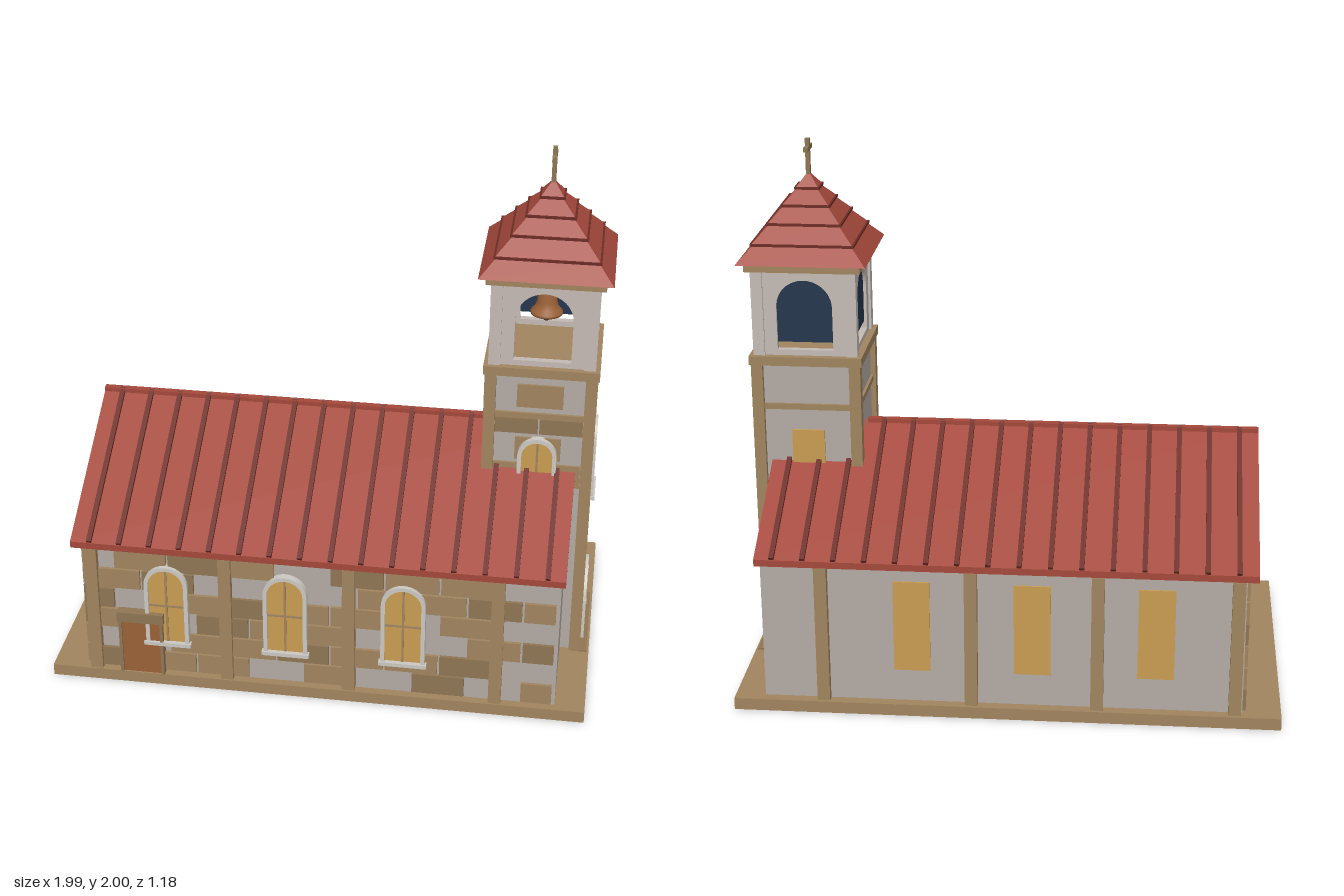
import * as THREE from 'three';

const mat = (color) => new THREE.MeshStandardMaterial({ color, flatShading: true });
const M = {
  wall: mat(0xb3aaa4), belfry: mat(0xc4bab4), trim: mat(0xa0845f), trim2: mat(0x8f7553), frame: mat(0xccc8c2),
  roof: mat(0xa4483b), rib: mat(0x6c2c25), glass: mat(0xc99c52), wood: mat(0x9a6037), plank: mat(0x6f4325), navy: mat(0x24364d),
  bell: new THREE.MeshStandardMaterial({ color: 0x9c6238, side: THREE.DoubleSide }),
};

function add(parent, name, geo, material, x = 0, y = 0, z = 0) {
  const m = new THREE.Mesh(geo, material);
  m.name = name;
  m.position.set(x, y, z);
  parent.add(m);
  return m;
}

// Box given by its minimum and maximum along each axis
function box(parent, name, material, x0, x1, y0, y1, z0, z1) {
  return add(parent, name, new THREE.BoxGeometry(x1 - x0, y1 - y0, z1 - z0), material,
    (x0 + x1) / 2, (y0 + y1) / 2, (z0 + z1) / 2);
}

const extrude = (shape, depth) => new THREE.ExtrudeGeometry(shape, { depth, bevelEnabled: false, curveSegments: 14 });

// Round-headed outline of half width r
function arch(r, y0, top, Type = THREE.Shape) {
  const s = new Type();
  s.moveTo(-r, y0);
  s.lineTo(r, y0);
  s.lineTo(r, top - r);
  s.absarc(0, top - r, r, 0, Math.PI, false);
  s.lineTo(-r, y0);
  return s;
}

function polygon(points) {
  return new THREE.Shape(points.map(([x, y]) => new THREE.Vector2(x, y)));
}

// A group whose local +z points out of a wall
function face(parent, name, x, z, angle) {
  const g = new THREE.Group();
  g.name = name;
  g.position.set(x, 0, z);
  g.rotation.y = angle;
  parent.add(g);
  return g;
}

function archFrame(parent, r, t, y0, top, z, depth) {
  const s = arch(r + t, y0, top + t);
  s.holes.push(arch(r, y0 - 0.0001 + 0.0002, top, THREE.Path));
  add(parent, 'archFrame', extrude(s, depth), M.frame, 0, 0, z);
}

function archWindow(parent, x, r, y0, top) {
  const g = face(parent, 'archWindow', x, 0, 0);
  add(g, 'glass', extrude(arch(r, y0, top), 0.018), M.glass);
  archFrame(g, r, 0.015, y0, top, 0, 0.028);
  box(g, 'sill', M.frame, -r - 0.022, r + 0.022, y0 - 0.015, y0, 0, 0.035);
  box(g, 'mullion', M.trim, -0.004, 0.004, y0, top, 0.015, 0.022);
  const mid = y0 + (top - y0) * 0.5;
  box(g, 'crossBar', M.trim, -r, r, mid - 0.004, mid + 0.004, 0.015, 0.022);
}

// Staggered stone courses; keep(row, col) decides which stones are raised
function stones(parent, half, length, keep) {
  const pitch = 0.087;
  for (let row = 0; row < 6; row++) {
    const y = 0.05 + row * pitch;
    const shift = (row % 2) * length / 2;
    for (let col = 0; -half - shift + col * length < half - 0.02; col++) {
      if (!keep(row, col)) continue;
      const a = Math.max(-half, -half - shift + col * length);
      const b = Math.min(half, -half - shift + (col + 1) * length);
      box(parent, 'stone', (row * 2 + col) % 3 ? M.trim : M.trim2, a + 0.004, b - 0.004, y + 0.003, y + pitch - 0.004, -0.005, 0.012);
    }
  }
}

function buildNave(root) {
  const nave = face(root, 'nave', 0, 0, 0);
  // Gabled body
  const body = add(nave, 'walls', extrude(polygon([[-0.55, 0.04], [0.55, 0.04], [0.55, 0.595], [0, 0.9], [-0.55, 0.595]]), 1.74), M.wall, -0.86);
  body.rotation.y = Math.PI / 2;

  // Roof slabs, standing seams and ridge
  const rise = 0.327, run = 0.585, top = 0.928;
  const slab = polygon([[-run, top - rise], [-run, top - rise - 0.025], [0, top - 0.027],
    [run, top - rise - 0.025], [run, top - rise], [0, top]]);
  add(nave, 'roof', extrude(slab, 1.795), M.roof, -0.9).rotation.y = Math.PI / 2;
  const len = Math.hypot(run, rise), tilt = Math.atan2(rise, run);
  for (const side of [-1, 1]) {
    for (let i = 0; i < 16; i++) {
      const seam = add(nave, 'roofSeam', new THREE.BoxGeometry(0.018, 0.018, len), M.rib,
        -0.83 + i * 0.1107, top - rise / 2 + 0.004, side * run / 2);
      seam.rotation.x = side * tilt;
    }
  }
  box(nave, 'ridge', M.roof, -0.9, 0.56, 0.918, 0.937, -0.013, 0.013);

  // Front wall: stones, windows and side door
  const front = face(nave, 'frontWall', 0, 0.55, 0);
  const stoneFace = face(front, 'stones', 0.01, 0, 0);
  stones(stoneFace, 0.86, 0.2, (r, c) => (r * 7 + c * 5 + r * c * 3) % 9 < 6);
  for (const x of [-0.555, -0.113, 0.32]) archWindow(front, x, 0.066, 0.19, 0.5);
  box(front, 'sideDoor', M.wood, -0.727, -0.583, 0.045, 0.27, 0, 0.026);
  for (const x of [-0.738, -0.583]) box(front, 'doorPost', M.trim2, x, x + 0.012, 0.045, 0.29, 0, 0.034);
  box(front, 'doorLintel', M.trim2, -0.742, -0.567, 0.27, 0.31, 0, 0.038);
  box(front, 'doorHandle', M.frame, -0.635, -0.595, 0.178, 0.19, 0.02, 0.036);

  // Pilasters on both long walls
  for (const x of [-0.832, -0.335, 0.12, 0.66]) {
    for (const s of [-1, 1]) add(nave, 'pilaster', new THREE.BoxGeometry(0.046, 0.53, 0.035), M.trim, x, 0.305, s * 0.559);
  }

  // Back windows
  for (const x of [-0.545, -0.1, 0.335]) box(nave, 'backWindow', M.glass, x - 0.066, x + 0.066, 0.17, 0.52, -0.557, -0.54);

  // Stone end wall with a window
  const end = face(nave, 'endWall', -0.86, 0, -Math.PI / 2);
  stones(end, 0.55, 0.19, () => true);
  box(end, 'endWindow', M.glass, -0.085, 0.085, 0.16, 0.54, 0, 0.016);
}

function buildTower(root) {
  const tower = face(root, 'tower', 0.755, 0, 0);
  box(tower, 'shaft', M.wall, -0.182, 0.182, 0.04, 1.22, -0.182, 0.182);
  for (const x of [-1, 1]) for (const z of [-1, 1]) {
    add(tower, 'cornerPost', new THREE.BoxGeometry(0.042, 1.17, 0.042), M.trim, x * 0.18, 0.625, z * 0.18);
    add(tower, 'belfryPost', new THREE.BoxGeometry(0.042, 0.33, 0.042), M.belfry, x * 0.17, 1.395, z * 0.17);
  }
  box(tower, 'middleBand', M.trim, -0.192, 0.192, 1.03, 1.052, -0.192, 0.192);
  box(tower, 'upperBand', M.trim, -0.207, 0.207, 1.203, 1.237, -0.207, 0.207);

  // Alternating stone courses on the two show sides
  const sides = [face(tower, 'towerFront', 0, 0.182, 0), face(tower, 'towerEntrance', 0.182, 0, Math.PI / 2)];
  sides.forEach((g, i) => {
    for (let k = i ? 1 : 6; k < 11; k++) {
      const y = 0.107 * k + 0.005, h = k === 9 ? 0.06 : 0.09;
      const spans = k % 2 ? [[-0.158, -0.003], [0.003, 0.158]] : [[-0.083, 0.083]];
      for (const [a, b] of spans) box(g, 'stone', k % 3 ? M.trim : M.trim2, a, b, y, y + h, -0.005, 0.009);
    }
    archWindow(g, 0, 0.056, 0.658, 0.94);
  });
  box(tower, 'backWindow', M.glass, -0.06, 0.06, 0.72, 0.95, -0.19, -0.175);

  // Entrance with arched surround, planked door and step
  const entry = sides[1];
  add(entry, 'doorRecess', extrude(arch(0.108, 0.045, 0.325), 0.013), M.navy);
  archFrame(entry, 0.104, 0.014, 0.045, 0.322, 0, 0.03);
  add(entry, 'mainDoor', extrude(arch(0.085, 0.045, 0.285), 0.02), M.wood);
  for (const x of [-0.05, -0.017, 0.017, 0.05]) box(entry, 'plankGap', M.plank, x - 0.002, x + 0.002, 0.05, 0.26, 0.015, 0.0215);
  for (const s of [-1, 1]) add(entry, 'impost', new THREE.BoxGeometry(0.026, 0.016, 0.034), M.frame, s * 0.112, 0.218, 0.015);
  box(entry, 'doorStep', M.trim2, -0.2, 0.2, 0.02, 0.052, 0, 0.045);

  // Belfry: four pierced walls, dark screens on the two rear sides
  for (let i = 0; i < 4; i++) {
    const g = face(tower, 'belfrySide', 0, 0, i * Math.PI / 2);
    const s = polygon([[-0.18, 1.235], [0.18, 1.235], [0.18, 1.56], [-0.18, 1.56]]);
    s.holes.push(arch(0.102, 1.258, 1.52, THREE.Path));
    add(g, 'belfryWall', extrude(s, 0.025), M.belfry, 0, 0, 0.157);
    if (i > 1) add(g, 'belfryScreen', extrude(arch(0.104, 1.285, 1.522), 0.006), M.navy, 0, 0, 0.165);
  }

  // Bell and clapper
  const profile = [[0, 0.105], [0.028, 0.104], [0.035, 0.09], [0.036, 0.05], [0.044, 0.025], [0.058, 0.01], [0.058, 0], [0.05, 0]];
  add(tower, 'bell', new THREE.LatheGeometry(profile.map(([r, y]) => new THREE.Vector2(r, y)), 20), M.bell, 0, 1.365, 0);
  add(tower, 'clapper', new THREE.SphereGeometry(0.014, 12, 8), M.plank, 0, 1.348, 0);
  add(tower, 'bellHanger', new THREE.CylinderGeometry(0.008, 0.008, 0.1, 8), M.plank, 0, 1.515, 0);

  // Eaves and tiered pyramid roof
  box(tower, 'eaves', M.trim, -0.21, 0.21, 1.555, 1.59, -0.21, 0.21);
  const levels = [1.585, 1.648, 1.712, 1.77, 1.825, 1.875];
  const width = (y) => 0.235 * (1.878 - y) / 0.293;
  for (let i = 0; i < 5; i++) {
    const [y0, y1] = [levels[i], levels[i + 1]];
    const lower = width(y0), upper = Math.max(0.004, width(y1) - 0.008);
    const tier = add(tower, 'roofTier', new THREE.CylinderGeometry(upper * Math.SQRT2, lower * Math.SQRT2, y1 - y0, 4), M.roof, 0, (y0 + y1) / 2, 0);
    tier.rotation.y = Math.PI / 4;
    if (i) add(tower, 'tierLip', new THREE.BoxGeometry(lower * 2 + 0.006, 0.009, lower * 2 + 0.006), M.rib, 0, y0, 0);
  }

  // Cross
  box(tower, 'crossUpright', M.trim2, -0.008, 0.008, 1.86, 2, -0.008, 0.008);
  box(tower, 'crossArm', M.trim2, -0.008, 0.008, 1.957, 1.973, -0.045, 0.045);
}

export function createModel() {
  const root = new THREE.Group();
  root.name = 'church';
  box(root, 'base', M.trim, -1, 0.99, 0, 0.045, -0.588, 0.582);
  buildNave(root);
  buildTower(root);
  return root;
}
